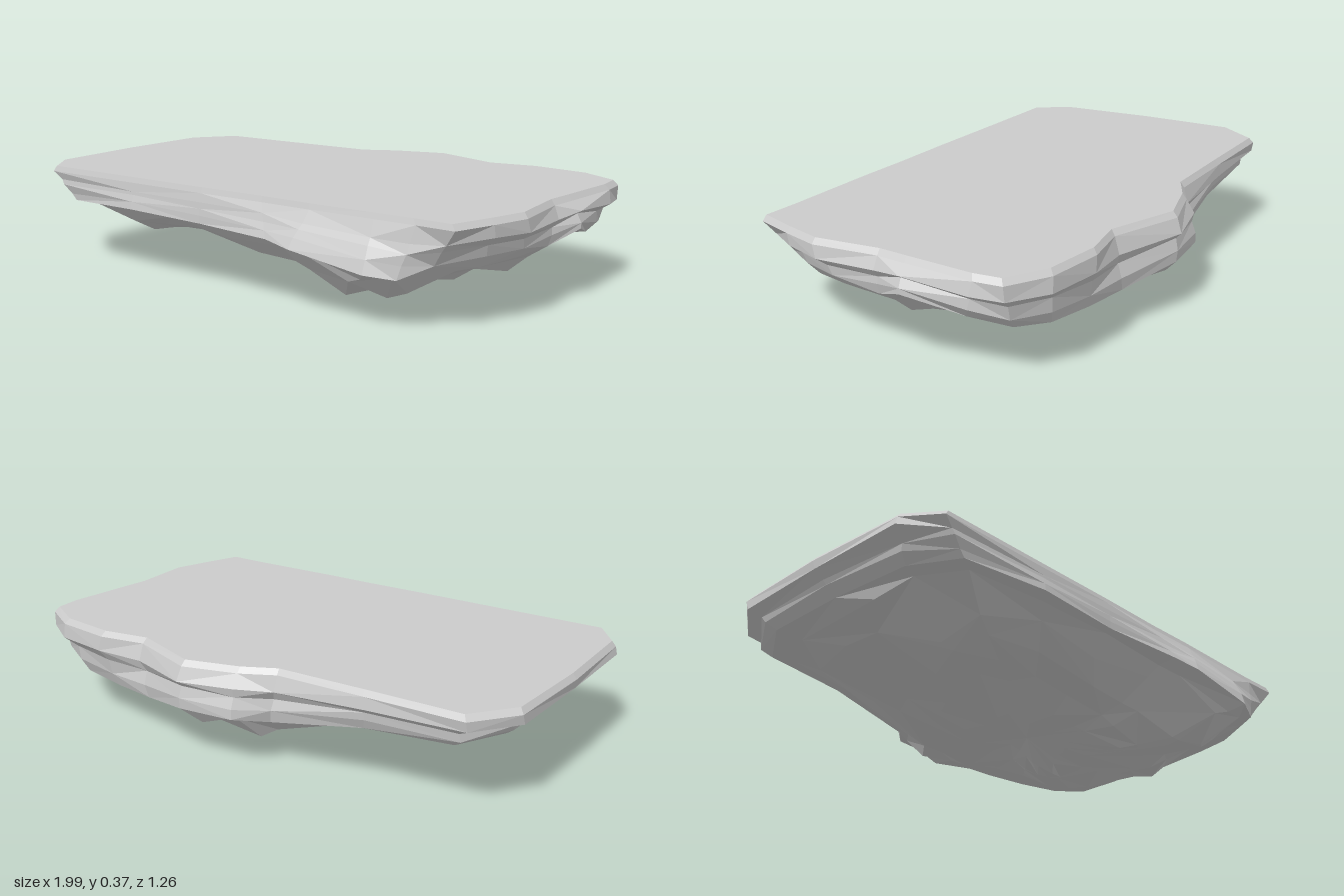
import * as THREE from 'three';

// Outline stations: rim x, rim z, lower-edge x, lower-edge z, lower-edge height
const STATIONS = [
  [-0.88, 0.56, -0.78, 0.54, 0.24], [-0.45, 0.565, -0.45, 0.58, 0.25],
  [-0.12, 0.57, -0.12, 0.58, 0.24], [0.15, 0.57, 0.2, 0.615, 0.235],
  [0.35, 0.575, 0.31, 0.637, 0.22], [0.6, 0.575, 0.6, 0.64, 0.18],
  [0.75, 0.575, 0.7, 0.6, 0.17], [0.89, 0.58, 0.76, 0.52, 0.18],
  [0.94, 0.43, 0.86, 0.37, 0.19], [0.98, 0.29, 0.91, 0.22, 0.2],
  [0.955, 0.05, 0.94, 0.06, 0.21], [0.965, -0.06, 1, -0.06, 0.255],
  [0.985, -0.32, 0.93, -0.26, 0.2], [0.975, -0.42, 0.87, -0.39, 0.17],
  [0.83, -0.505, 0.76, -0.46, 0.16], [0.61, -0.535, 0.58, -0.49, 0.15],
  [0.43, -0.505, 0.4, -0.52, 0.15], [0.16, -0.605, 0.17, -0.61, 0.19],
  [-0.04, -0.55, -0.04, -0.59, 0.19], [-0.16, -0.488, -0.13, -0.49, 0.17],
  [-0.5, -0.485, -0.48, -0.45, 0.22], [-0.87, -0.485, -0.8, -0.42, 0.23],
  [-0.985, -0.33, -0.9, -0.26, 0.24], [-0.992, 0.05, -0.9, 0.06, 0.24],
  [-0.97, 0.44, -0.88, 0.38, 0.235],
];

// Lumps and hollows of the underside: x, z, height
const LUMPS = [
  [0.29, -0.06, 0], [0.3, 0.27, 0.015], [0.28, 0.12, 0.022], [0.4, 0.44, 0.04],
  [0.56, 0.12, 0.05], [0.58, -0.22, 0.06], [0.79, 0.05, 0.1], [0.14, -0.34, 0.08],
  [-0.05, -0.44, 0.08], [0.12, -0.55, 0.13], [0.05, 0.1, 0.065], [-0.1, -0.15, 0.09],
  [-0.32, 0.15, 0.14], [-0.35, -0.2, 0.15], [-0.63, 0.28, 0.1], [-0.72, -0.1, 0.19],
  [-0.85, 0.2, 0.2], [0.57, 0.45, 0.06], [0, 0.4, 0.12], [0.5, 0.57, 0.13],
];

const TOP = 0.365;
const RIM = 0.345;
const CENTRE = [0.08, 0];

// Repeatable roughness in -1..1
const rough = (i, j) => {
  const s = Math.sin(i * 127.1 + j * 311.7) * 43758.5453;
  return 2 * (s - Math.floor(s)) - 1;
};

// Underside height, weighted by the nearest lumps and edge points
function undersideY(x, z) {
  let sum = 0, total = 0;
  const add = (px, pz, py) => {
    const w = 1 / (Math.hypot(x - px, z - pz) ** 3 + 1e-5);
    sum += w * py;
    total += w;
  };
  LUMPS.forEach(([px, pz, py]) => add(px, pz, py));
  STATIONS.forEach(([, , px, pz, py]) => add(px, pz, py));
  return sum / total;
}

// Closed ring of points, one per station
const ring = (fn) => STATIONS.map((s, i) => new THREE.Vector3(...fn(s, i)));

// Triangles between successive rings, listed from top to bottom
function skin(rings) {
  const out = [];
  const n = STATIONS.length;
  const tri = (a, b, c) => out.push(...a.toArray(), ...b.toArray(), ...c.toArray());
  for (let r = 0; r < rings.length - 1; r++) {
    for (let i = 0; i < n; i++) {
      const k = (i + 1) % n;
      const a = rings[r][i], b = rings[r][k], c = rings[r + 1][i], d = rings[r + 1][k];
      if ((i + r) % 2) { tri(a, c, d); tri(a, d, b); }
      else { tri(a, c, b); tri(b, c, d); }
    }
  }
  return out;
}

function toMesh(name, positions, material) {
  const geometry = new THREE.BufferGeometry();
  geometry.setAttribute('position', new THREE.Float32BufferAttribute(positions, 3));
  geometry.computeVertexNormals();
  const mesh = new THREE.Mesh(geometry, material);
  mesh.name = name;
  return mesh;
}

export function createModel() {
  const group = new THREE.Group();
  group.name = 'rockSlab';
  const stone = new THREE.MeshStandardMaterial({ color: 0xcccccc, flatShading: true });

  // Flat top surface
  const topRing = ring(([x, z]) => [x * 0.985, TOP, z * (z > 0 ? 0.99 : 0.97)]);
  const shape = new THREE.Shape(topRing.map((p) => new THREE.Vector2(p.x, -p.z)));
  const top = new THREE.Mesh(new THREE.ShapeGeometry(shape), stone);
  top.name = 'flatTop';
  top.rotation.x = -Math.PI / 2;
  top.position.y = TOP;
  group.add(top);

  // Worn rim and stepped sides: each layer is [blend to lower edge, ledge on the ends and back]
  const rim = ring(([x, z]) => [x, RIM, z]);
  const layers = [[0.3, 0.03], [0.5, 0], [0.75, 0.015]];
  const strata = layers.map(([t, ledge], j) => ring(([x, z, lx, lz, ly], i) => {
    const k = 1 + (z > 0.5 ? 0 : ledge) + 0.007 * rough(i, j);
    return [
      THREE.MathUtils.clamp(THREE.MathUtils.lerp(x, lx, t) * k, -1, 1),
      THREE.MathUtils.lerp(RIM, ly, t) + 0.006 * rough(i, j + 5),
      THREE.MathUtils.clamp(THREE.MathUtils.lerp(z, lz, t) * k, -0.64, 0.64),
    ];
  }));
  const edge = ring(([, , x, z, y]) => [x, y, z]);
  group.add(toMesh('craggySides', skin([topRing, rim, ...strata, edge]), stone));

  // Lumpy underside narrowing to the keel
  const under = [0.92, 0.8, 0.66, 0.5, 0.34, 0.17, 0].map((t, j) => ring(([, , lx, lz], i) => {
    const k = t * (1 + 0.03 * rough(i, j + 20));
    const x = CENTRE[0] + (lx - CENTRE[0]) * k;
    const z = CENTRE[1] + (lz - CENTRE[1]) * k;
    return [x, undersideY(x, z), z];
  }));
  // Pull the nearest underside point onto the tip of every lump
  const free = under.slice(0, -1).flat();
  LUMPS.forEach(([x, z, y]) => {
    const tip = new THREE.Vector3(x, y, z);
    free.reduce((a, b) => (a.distanceTo(tip) < b.distanceTo(tip) ? a : b)).copy(tip);
  });
  group.add(toMesh('lumpyUnderside', skin([edge, ...under]), stone));

  return group;
}
